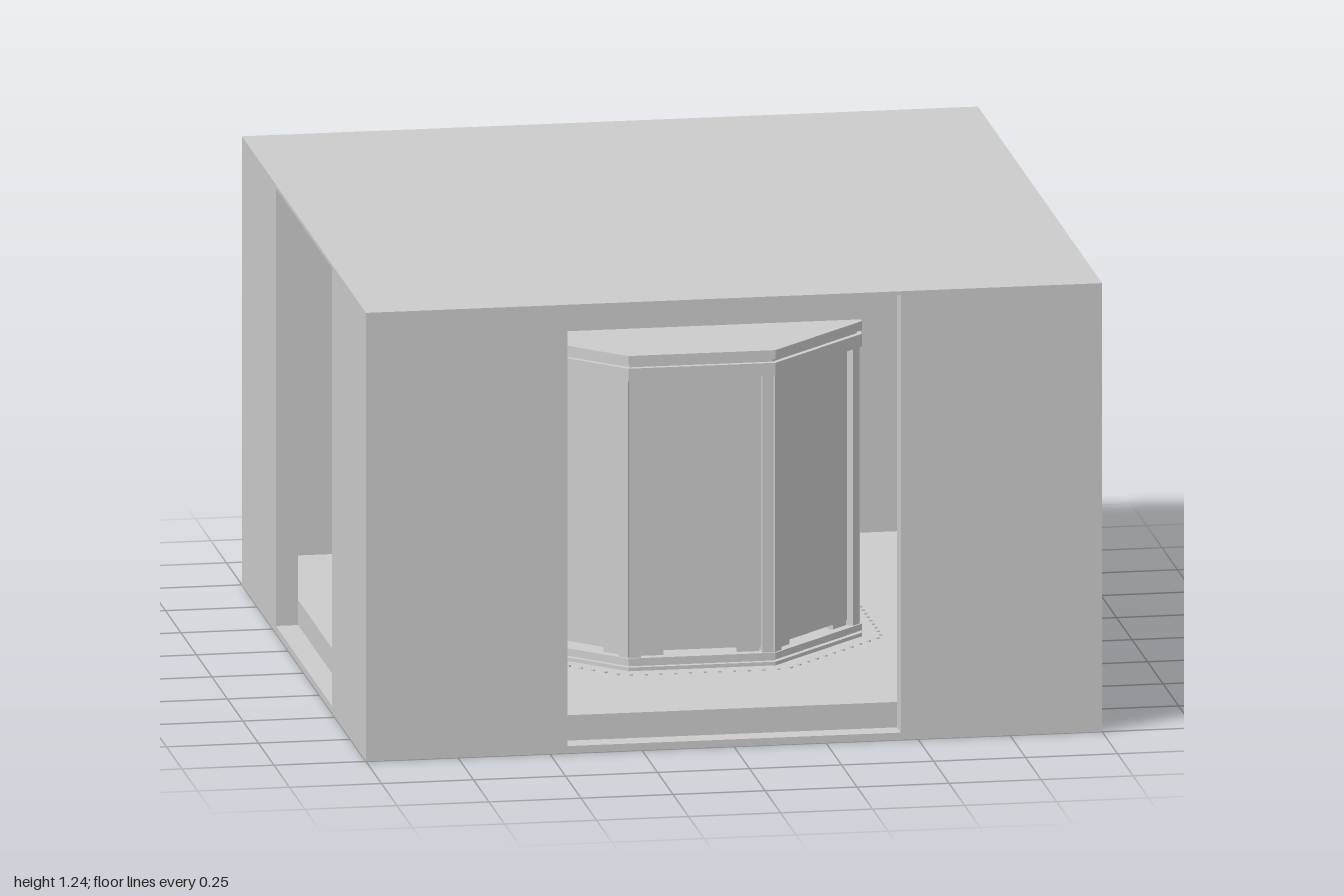
import * as THREE from 'three';

export function createModel() {
  const root = new THREE.Group();
  const mat = new THREE.MeshStandardMaterial({ color: 0xcccccc });
  const flat = new THREE.MeshStandardMaterial({ color: 0xcccccc, flatShading: true });

  const add = (parent, name, geo, x = 0, y = 0, z = 0, m = mat) => {
    const mesh = new THREE.Mesh(geo, m);
    mesh.name = name;
    mesh.position.set(x, y, z);
    parent.add(mesh);
    return mesh;
  };
  // Box given by its limits on each axis
  const box = (parent, name, x0, x1, y0, y1, z0, z1) =>
    add(parent, name, new THREE.BoxGeometry(x1 - x0, y1 - y0, z1 - z0),
      (x0 + x1) / 2, (y0 + y1) / 2, (z0 + z1) / 2);
  const group = (name, parent = root) => {
    const g = new THREE.Group();
    g.name = name;
    parent.add(g);
    return g;
  };

  // Room shell: plates, floor and ceiling slabs, L-shaped corner walls
  const H = 1.238, T = 0.06, IN = 1 - T, OPEN = 0.453;
  const room = group('room');
  box(room, 'bottomPlate', -1, 1, 0, 0.02, -1, 1);
  box(room, 'floor', -IN, IN, 0.02, 0.09, -IN, IN);
  box(room, 'ceiling', -IN, IN, 1.15, 1.228, -IN, IN);
  box(room, 'roofPlate', -1, 1, 1.228, H, -1, 1);
  const corner = new THREE.Shape([[1, 1], [OPEN, 1], [OPEN, IN], [IN, IN], [IN, OPEN], [1, OPEN]]
    .map(([x, y]) => new THREE.Vector2(x, y)));
  const cornerGeo = new THREE.ExtrudeGeometry(corner, { depth: 1.208, bevelEnabled: false });
  cornerGeo.rotateX(-Math.PI / 2);
  for (let i = 0; i < 4; i++) {
    const wall = add(room, 'cornerWall', cornerGeo, 0, 0.02, 0);
    wall.rotation.y = i * Math.PI / 2;
  }

  // Ceiling lights, one facing each opening
  for (let i = 0; i < 4; i++) {
    const light = group('ceilingLight');
    box(light, 'lightFrame', -0.3, 0.3, 1.138, 1.15, 0.65, 0.83);
    box(light, 'lightPanel', -0.27, 0.27, 1.13, 1.138, 0.68, 0.8);
    light.rotation.y = i * Math.PI / 2;
  }

  // Octagonal chamber
  const chamber = group('chamber');
  const A = 0.483;
  const octagon = (name, apothem, y0, y1) => {
    const r = apothem / Math.cos(Math.PI / 8);
    const geo = new THREE.CylinderGeometry(r, r, y1 - y0, 8);
    geo.rotateY(Math.PI / 8);
    return add(chamber, name, geo, 0, (y0 + y1) / 2, 0, flat);
  };
  octagon('baseFoot', A, 0.09, 0.1);
  octagon('baseGroove', A - 0.015, 0.1, 0.107);
  octagon('baseRing', A, 0.107, 0.125);
  octagon('topRing', A, 0.89, 0.925);
  octagon('topGroove', A - 0.015, 0.925, 0.935);
  octagon('topCap', A, 0.935, 0.96);
  for (let i = 0; i < 8; i++) {
    const side = group('chamberSide', chamber);
    box(side, 'panel', -0.165, 0.165, 0.138, 0.89, A - 0.045, A - 0.025);
    for (const s of [-1, 1]) {
      const x = s * 0.18;
      box(side, 'post', x - 0.015, x + 0.015, 0.125, 0.89, A - 0.05, A - 0.005);
      box(side, 'panelFoot', s * 0.13 - 0.03, s * 0.13 + 0.03, 0.125, 0.138, A - 0.045, A - 0.025);
    }
    // Row of floor studs outside every side but the back
    if (i !== 4) {
      for (let k = -5; k <= 5; k++) {
        box(side, 'floorStud', k * 0.04 - 0.004, k * 0.04 + 0.004, 0.09, 0.094, A + 0.046, A + 0.054);
      }
    }
    side.rotation.y = i * Math.PI / 4;
  }
  // Door handle on the back panel
  box(chamber, 'doorHandle', 0.11, 0.13, 0.36, 0.47, -A - 0.005, -A + 0.025);

  // Twin lifting columns between chamber and ceiling
  for (const s of [-1, 1]) {
    box(chamber, 'columnBase', s * 0.185 - 0.083, s * 0.185 + 0.083, 0.96, 1.01, -0.093, 0.093);
    add(chamber, 'column', new THREE.CylinderGeometry(0.032, 0.032, 0.14, 24), s * 0.185, 1.08, 0);
  }

  // Entry portal and slatted step behind the chamber
  const entry = group('entryPortal');
  for (const s of [-1, 1]) {
    const x = s * 0.2;
    box(entry, 'portalPost', x - 0.016, x + 0.016, 0.09, 0.82, -0.636, -0.604);
    box(entry, 'sideRail', x - 0.013, x + 0.013, 0.785, 0.815, -0.604, -0.46);
    box(entry, 'stepEdge', x - 0.008, x + 0.008, 0.09, 0.105, -0.66, -A);
    for (const y of [0.3, 0.55]) {
      add(entry, 'postKnob', new THREE.SphereGeometry(0.014, 12, 8), x, y, -0.64);
    }
  }
  box(entry, 'portalBar', -0.2, 0.2, 0.785, 0.82, -0.634, -0.606);
  for (let i = 0; i < 12; i++) {
    const x = -0.176 + i * 0.032;
    box(entry, 'stepSlat', x - 0.009, x + 0.009, 0.09, 0.1, -0.66, -A);
  }

  // Open locker on the inside of the front wall
  const locker = group('locker');
  const [lx0, lx1, lz0, ly1] = [-0.73, -0.48, 0.8, 0.71];
  box(locker, 'lockerBack', lx0, lx1, 0.09, ly1, IN - 0.01, IN);
  box(locker, 'lockerTop', lx0, lx1, ly1 - 0.012, ly1, lz0, IN);
  box(locker, 'lockerBottom', lx0, lx1, 0.09, 0.105, lz0, IN);
  box(locker, 'lockerSide', lx0, lx0 + 0.01, 0.09, ly1, lz0, IN);
  box(locker, 'lockerSide', lx1 - 0.01, lx1, 0.09, ly1, lz0, IN);
  box(locker, 'lockerDoor', lx1, lx1 + 0.012, 0.1, 0.69, 0.62, lz0 + 0.03);
  box(locker, 'lockerHandle', lx1 + 0.012, -0.446, 0.35, 0.48, 0.645, 0.66);
  box(locker, 'storageBox', -0.7, -0.51, 0.105, 0.18, 0.83, 0.92);
  box(locker, 'boxLid', -0.705, -0.505, 0.18, 0.195, 0.825, 0.925);

  // Protective suit hanging in the locker
  const suit = group('suit', locker);
  suit.position.set(-0.605, 0, 0.88);
  const limb = (name, r, len, x, y, tilt) => {
    add(suit, name, new THREE.CapsuleGeometry(r, len, 4, 12), x, y, 0).rotation.z = tilt;
  };
  add(suit, 'helmet', new THREE.SphereGeometry(0.045, 20, 14), 0, 0.575, 0);
  const visor = add(suit, 'visor', new THREE.SphereGeometry(0.03, 16, 10), 0, 0.575, -0.024);
  visor.scale.set(1, 0.8, 0.9);
  add(suit, 'collar', new THREE.TorusGeometry(0.032, 0.009, 8, 20), 0, 0.532, 0).rotation.x = Math.PI / 2;
  limb('torso', 0.042, 0.08, 0, 0.455, 0);
  box(suit, 'chestPack', -0.025, 0.025, 0.45, 0.49, -0.052, -0.03);
  for (const s of [-1, 1]) {
    limb('arm', 0.018, 0.12, s * 0.066, 0.435, s * 0.2);
    add(suit, 'glove', new THREE.SphereGeometry(0.02, 12, 8), s * 0.083, 0.355, 0);
    limb('leg', 0.022, 0.13, s * 0.026, 0.31, 0);
    box(suit, 'boot', s * 0.026 - 0.02, s * 0.026 + 0.02, 0.195, 0.23, -0.045, 0.02);
  }
  return root;
}
